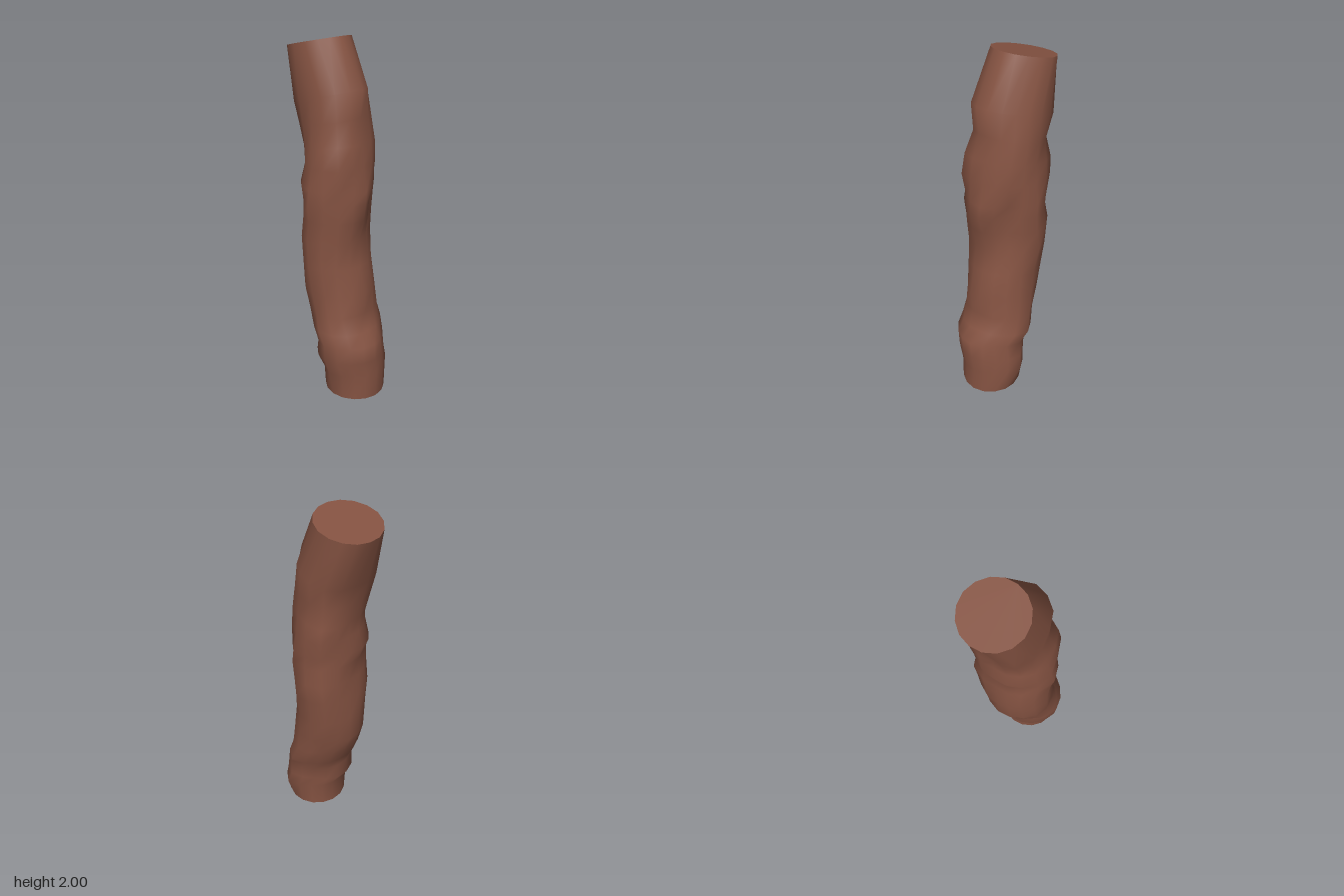
import * as THREE from 'three';

const SIDES = 16;

// Cross-sections: y at -x edge, y at +x edge, min x, max x, back z, front z
const SECTIONS = [
  [0.01, 0.0, -0.03, 0.312, -0.175, 0.165],
  [0.16, 0.15, -0.03, 0.312, -0.222, 0.197],
  [0.23, 0.24, -0.07, 0.312, -0.208, 0.212],
  [0.32, 0.34, -0.06, 0.312, -0.203, 0.22],
  [0.4, 0.4, -0.09, 0.245, -0.228, 0.217],
  [0.5, 0.5, -0.135, 0.215, -0.208, 0.2],
  [0.62, 0.63, -0.18, 0.227, -0.205, 0.215],
  [0.78, 0.78, -0.18, 0.187, -0.207, 0.222],
  [0.93, 0.93, -0.175, 0.167, -0.232, 0.223],
  [1.05, 1.05, -0.175, 0.2, -0.23, 0.225],
  [1.15, 1.15, -0.172, 0.22, -0.232, 0.24],
  [1.23, 1.22, -0.19, 0.218, -0.23, 0.222],
  [1.33, 1.35, -0.172, 0.19, -0.213, 0.198],
  [1.42, 1.47, -0.178, 0.178, -0.205, 0.19],
  [1.53, 1.6, -0.19, 0.152, -0.205, 0.17],
  [1.65, 1.75, -0.225, 0.165, -0.205, 0.17],
  [1.925, 2.0, -0.317, 0.015, -0.178, 0.168],
];

// Reach of each section along its diagonals: min and max of (x - z), then of (x + z), over root 2
const DIAGONALS = [
  [-0.067, 0.273, -0.075, 0.265],
  [-0.067, 0.271, -0.077, 0.265],
  [-0.115, 0.268, -0.08, 0.28],
  [-0.105, 0.252, -0.095, 0.285],
  [-0.13, 0.24, -0.128, 0.252],
  [-0.16, 0.224, -0.142, 0.23],
  [-0.187, 0.208, -0.18, 0.215],
  [-0.188, 0.186, -0.21, 0.203],
  [-0.198, 0.158, -0.22, 0.2],
  [-0.184, 0.155, -0.236, 0.209],
  [-0.172, 0.156, -0.218, 0.209],
  [-0.202, 0.182, -0.226, 0.21],
  [-0.177, 0.198, -0.242, 0.23],
  [-0.182, 0.195, -0.242, 0.21],
  [-0.206, 0.174, -0.216, 0.162],
  [-0.234, 0.15, -0.252, 0.17],
  [-0.272, 0.066, -0.279, 0.059],
];

// One loop of points, its radius blended between eight compass directions
function ring([yL, yR, x0, x1, z0, z1], index) {
  const [a0, a1, b0, b1] = DIAGONALS[index];
  const cx = (x0 + x1) / 2;
  const cz = (z0 + z1) / 2;
  const ca = (cx - cz) * Math.SQRT1_2;
  const cb = (cx + cz) * Math.SQRT1_2;
  const radii = [x1 - cx, b1 - cb, z1 - cz, ca - a0, cx - x0, cb - b0, cz - z0, a1 - ca];
  return Array.from({ length: SIDES }, (_, i) => {
    const t = (i / SIDES) * Math.PI * 2;
    const k = Math.floor((i * 8) / SIDES);
    const radius = THREE.MathUtils.lerp(radii[k], radii[(k + 1) % 8], (i * 8) / SIDES - k);
    const dx = radius * Math.cos(t);
    const tilt = (yR - yL) / (x1 - x0);
    return new THREE.Vector3(cx + dx, (yL + yR) / 2 + dx * tilt, cz + radius * Math.sin(t));
  });
}

function surface(points, index) {
  const geometry = new THREE.BufferGeometry().setFromPoints(points);
  geometry.setIndex(index);
  geometry.computeVertexNormals();
  return geometry;
}

// Flat fan closing one end
function cap(loop, up) {
  const index = [];
  for (let i = 1; i < SIDES - 1; i++) index.push(0, ...(up ? [i + 1, i] : [i, i + 1]));
  return surface(loop, index);
}

export function createModel() {
  const group = new THREE.Group();
  group.name = 'log';
  const bark = new THREE.MeshStandardMaterial({ name: 'bark brown', color: 0x855342 });
  const add = (name, geometry) => {
    const mesh = new THREE.Mesh(geometry, bark);
    mesh.name = name;
    group.add(mesh);
  };

  // Gnarled trunk skin
  const loops = SECTIONS.map(ring);
  const index = [];
  for (let r = 0; r < loops.length - 1; r++) {
    for (let i = 0; i < SIDES; i++) {
      const a = r * SIDES + i;
      const b = r * SIDES + ((i + 1) % SIDES);
      index.push(a, a + SIDES, b, b, a + SIDES, b + SIDES);
    }
  }
  add('trunk', surface(loops.flat(), index));

  // Sawn ends
  add('topCut', cap(loops[loops.length - 1], true));
  add('bottomCut', cap(loops[0], false));
  return group;
}
